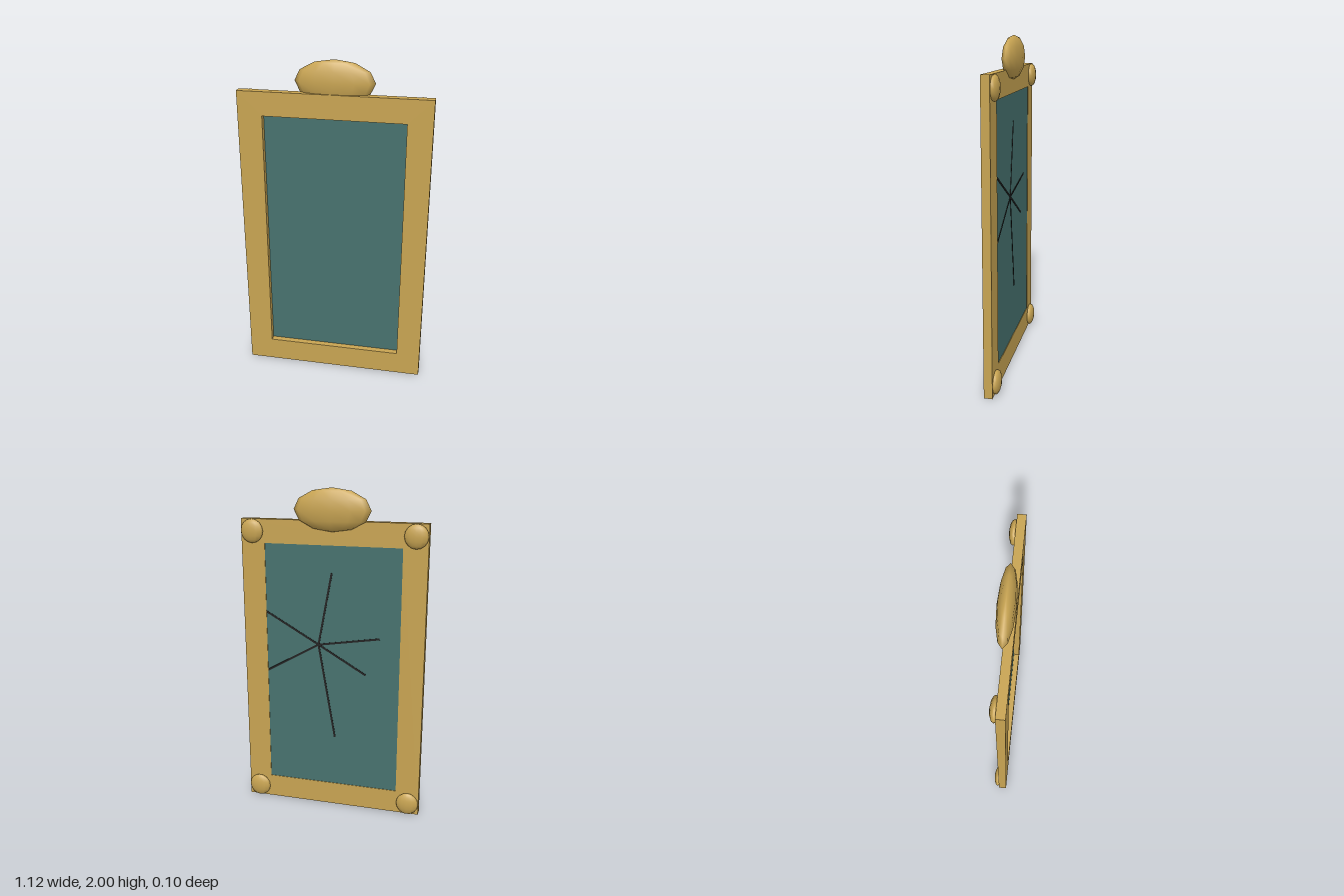
import * as THREE from 'three';

const gold = new THREE.MeshStandardMaterial({ color: 0xc8a452 });
const glassMat = new THREE.MeshStandardMaterial({ color: 0x47726e });
const dark = new THREE.MeshStandardMaterial({ color: 0x222222 });

export function createModel() {
  const model = new THREE.Group();
  model.name = 'framedMirror';

  const add = (name, geometry, material, x = 0, y = 0, z = 0) => {
    const mesh = new THREE.Mesh(geometry, material);
    mesh.name = name;
    mesh.position.set(x, y, z);
    model.add(mesh);
    return mesh;
  };

  // rectangular path from its corner limits
  const rect = (path, x, y0, y1) =>
    path.moveTo(-x, y0).lineTo(x, y0).lineTo(x, y1).lineTo(-x, y1).closePath();

  // frame with a rectangular opening
  const outline = rect(new THREE.Shape(), 0.56, 0, 1.813);
  outline.holes.push(rect(new THREE.Path(), 0.415, 0.146, 1.672));
  add('frame', new THREE.ExtrudeGeometry(outline, { depth: 0.05, bevelEnabled: false }), gold);

  // glass pane, set near the back of the frame
  add('glass', new THREE.BoxGeometry(0.83, 1.526, 0.01), glassMat, 0, 0.909, 0.008);

  // crest on the top edge
  add('crest', new THREE.SphereGeometry(1, 12, 6), gold, 0, 1.875, 0).scale.set(0.23, 0.125, 0.05);

  // domed bosses on the back corners
  for (const x of [-0.49, 0.49]) {
    for (const y of [0.073, 1.742]) {
      add('cornerBoss', new THREE.SphereGeometry(1, 12, 8), gold, x, y, -0.009).scale.set(0.07, 0.071, 0.027);
    }
  }

  // cracks radiating across the back of the glass
  const hub = new THREE.Vector2(0.086, 1.068);
  const ends = [[0.003, 1.511], [-0.291, 1.13], [-0.209, 0.897], [-0.017, 0.469], [0.42, 0.875], [0.42, 1.258]];
  for (const [x, y] of ends) {
    const dx = x - hub.x, dy = y - hub.y;
    const crack = add('crack', new THREE.BoxGeometry(Math.hypot(dx, dy), 0.012, 0.004), dark,
      hub.x + dx / 2, hub.y + dy / 2, 0.003);
    crack.rotation.z = Math.atan2(dy, dx);
  }

  return model;
}
